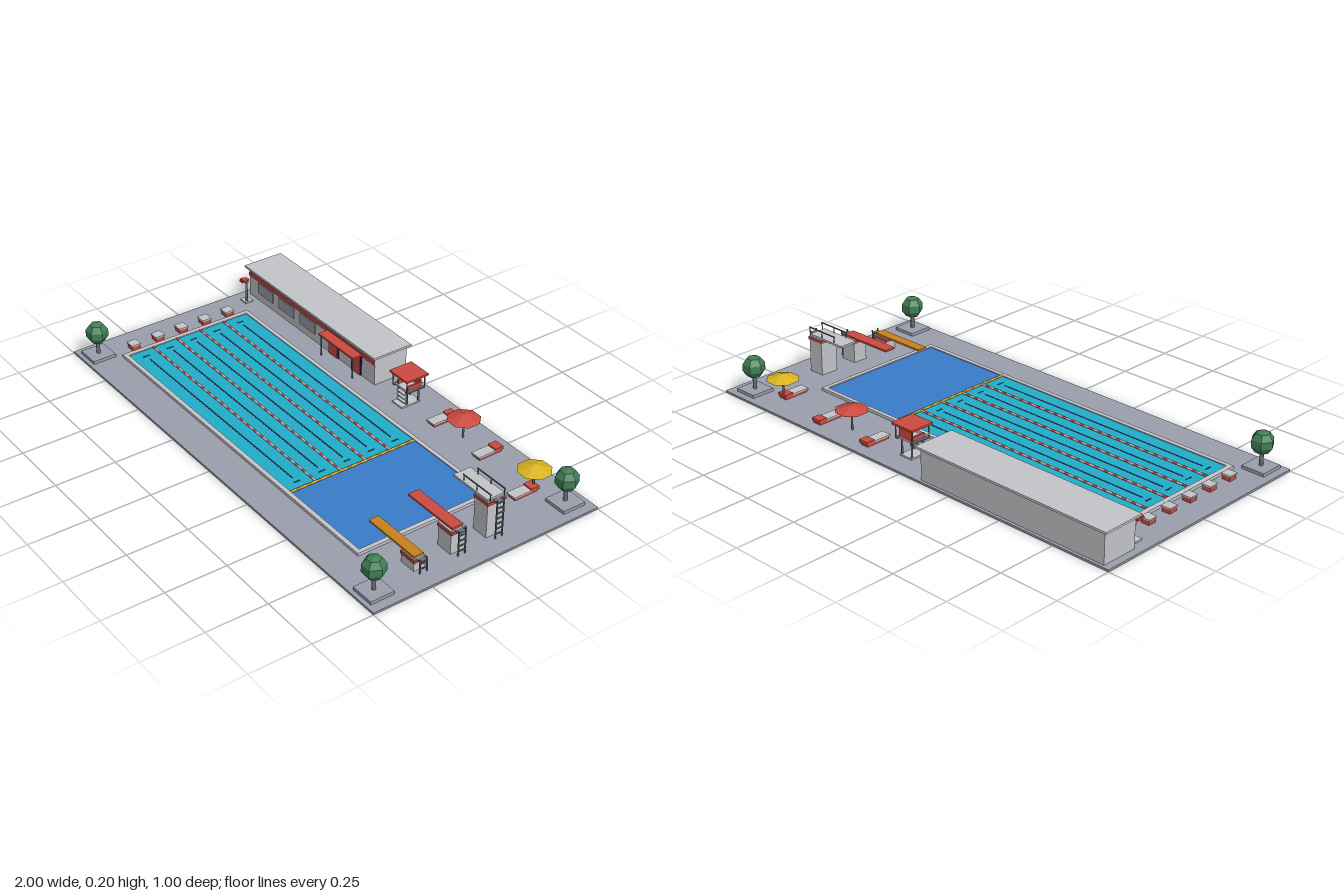
import * as THREE from 'three';

const mat = (name, color, extra = {}) => {
  const m = new THREE.MeshStandardMaterial({ color, ...extra });
  m.name = name;
  return m;
};

export function createModel() {
  const root = new THREE.Group();
  root.name = 'swimmingPool';
  const deck = mat('deckGrey', 0x9b9eac);
  const light = mat('lightConcrete', 0xc4c5ca);
  const red = mat('red', 0xcc4a41);
  const teal = mat('laneWater', 0x21adc9);
  const blue = mat('deepWater', 0x397dca);
  const navy = mat('navy', 0x1d2c52);
  const green = mat('leafGreen', 0x3f7f55, { flatShading: true });
  const yellow = mat('yellow', 0xd9b51f);
  const orange = mat('orange', 0xca801f);
  const metal = mat('metalGrey', 0x6c7079);

  const D = 0.008; // deck surface height
  const group = (name, x = 0, z = 0) => {
    const g = new THREE.Group();
    g.name = name;
    g.position.set(x, 0, z);
    root.add(g);
    return g;
  };
  const add = (parent, name, geo, m, x = 0, y = 0, z = 0) => {
    const mesh = new THREE.Mesh(geo, m);
    mesh.name = name;
    mesh.position.set(x, y, z);
    parent.add(mesh);
    return mesh;
  };
  // box given by its minimum and maximum on each axis
  const box = (parent, name, m, x0, x1, y0, y1, z0, z1) =>
    add(parent, name, new THREE.BoxGeometry(x1 - x0, y1 - y0, z1 - z0), m,
      (x0 + x1) / 2, (y0 + y1) / 2, (z0 + z1) / 2);
  const post = (parent, name, m, x, z, y0, y1, r) =>
    add(parent, name, new THREE.CylinderGeometry(r, r, y1 - y0, 8), m, x, (y0 + y1) / 2, z);

  box(root, 'deck', deck, -1, 1, 0, D, -0.5, 0.5);

  // Pool: raised coping ring with two areas of water
  const pool = group('pool');
  box(pool, 'copingBack', light, -0.85, 0.728, D, 0.02, -0.235, -0.218);
  box(pool, 'copingFront', light, -0.85, 0.728, D, 0.02, 0.344, 0.362);
  box(pool, 'copingRight', light, -0.85, -0.83, D, 0.02, -0.218, 0.344);
  box(pool, 'copingLeft', light, 0.71, 0.728, D, 0.02, -0.218, 0.344);
  box(pool, 'laneWater', teal, -0.83, 0.3, D, 0.016, -0.218, 0.344);
  box(pool, 'deepWater', blue, 0.3, 0.71, D, 0.016, -0.218, 0.344);

  // Lane markings and starting blocks
  for (let i = 0; i < 5; i++) {
    const z = -0.161 + i * 0.1122;
    box(pool, 'laneLine', navy, -0.765, 0.23, 0.016, 0.0168, z - 0.003, z + 0.003);
    for (const x of [-0.79, 0.256])
      box(pool, 'laneTick', navy, x - 0.003, x + 0.003, 0.016, 0.0168, z - 0.015, z + 0.015);
    const block = group('startingBlock', -0.885, z);
    box(block, 'blockBase', red, -0.018, 0.018, D, 0.026, -0.018, 0.018);
    box(block, 'blockTop', light, -0.021, 0.021, 0.026, 0.032, -0.021, 0.021);
  }

  // Floating ropes between the lanes and across the deep end
  const floatX = new THREE.CylinderGeometry(0.005, 0.005, 0.0226, 6).rotateZ(Math.PI / 2);
  for (let r = 0; r < 4; r++)
    for (let i = 0; i < 50; i++)
      add(pool, 'laneFloat', floatX, i % 2 ? light : red,
        -0.83 + (i + 0.5) * 0.0226, 0.019, -0.105 + r * 0.1122);
  const floatZ = new THREE.CylinderGeometry(0.005, 0.005, 0.0225, 6).rotateX(Math.PI / 2);
  for (let i = 0; i < 25; i++)
    add(pool, 'dividerFloat', floatZ, i % 2 ? orange : yellow, 0.3, 0.0195, -0.218 + (i + 0.5) * 0.0225);

  // Changing room building
  const house = group('building');
  box(house, 'walls', light, -0.97, -0.1, D, 0.133, -0.488, -0.333);
  box(house, 'roof', light, -0.985, -0.085, 0.133, 0.142, -0.5, -0.318);
  box(house, 'redBand', red, -0.97, -0.1, 0.099, 0.115, -0.333, -0.329);
  for (const x of [-0.85, -0.7, -0.55])
    box(house, 'window', deck, x - 0.053, x + 0.053, 0.043, 0.092, -0.333, -0.329);
  for (const x of [-0.368, -0.218]) {
    box(house, 'doorFrame', navy, x - 0.034, x + 0.034, D, 0.096, -0.333, -0.33);
    box(house, 'door', red, x - 0.027, x + 0.027, D, 0.091, -0.33, -0.327);
  }
  box(house, 'canopy', red, -0.41, -0.18, 0.1, 0.108, -0.333, -0.285);
  for (const x of [-0.4, -0.19]) post(house, 'canopyPost', metal, x, -0.292, D, 0.1, 0.003);

  // Poolside shower
  const shower = group('shower', -0.93, -0.288);
  box(shower, 'tray', light, -0.02, 0.02, D, 0.014, -0.018, 0.018);
  post(shower, 'pipe', metal, 0.01, 0.006, D, 0.108, 0.005);
  box(shower, 'arm', red, -0.025, 0.015, 0.1, 0.108, 0, 0.012);
  box(shower, 'head', red, -0.027, -0.005, 0.095, 0.103, -0.017, 0.017);

  // Lifeguard chair
  const chair = group('lifeguardChair', 0.065, -0.372);
  box(chair, 'chairRoof', red, -0.054, 0.054, 0.133, 0.141, -0.053, 0.053);
  box(chair, 'seat', light, -0.035, 0.035, 0.076, 0.083, -0.035, 0.035);
  box(chair, 'seatBack', red, -0.033, 0.033, 0.083, 0.12, -0.035, -0.027);
  for (const x of [-1, 1]) {
    box(chair, 'armRest', red, x * 0.03 - 0.004, x * 0.03 + 0.004, 0.083, 0.1, -0.03, 0.03);
    for (const z of [-1, 1]) {
      post(chair, 'leg', metal, x * 0.026, z * 0.028, D, 0.077, 0.004);
      post(chair, 'roofPost', metal, x * 0.043, z * 0.043, 0.08, 0.134, 0.0025);
    }
    box(chair, 'roofPostBracket', metal, x * 0.04 - 0.006, x * 0.04 + 0.006, 0.077, 0.082, -0.044, 0.044);
  }
  for (let i = 0; i < 3; i++)
    box(chair, 'step', light, -0.024, 0.024, 0.022 + i * 0.018, 0.027 + i * 0.018, 0.026, 0.04);
  box(chair, 'chairFoot', light, -0.03, 0.03, D, 0.014, -0.035, 0.055);

  // Sun loungers
  for (const [x, z] of [[0.247, -0.392], [0.514, -0.392], [0.78, -0.336]]) {
    const bed = group('lounger', x, z);
    box(bed, 'loungerBase', red, -0.019, 0.019, D, 0.018, -0.055, 0.052);
    box(bed, 'mattress', light, -0.022, 0.022, 0.018, 0.024, -0.022, 0.057);
    box(bed, 'headRest', red, -0.022, 0.022, 0.018, 0.03, -0.06, -0.022);
  }

  // Parasols
  const shade = new THREE.ConeGeometry(0.067, 0.023, 8).toNonIndexed();
  shade.computeVertexNormals();
  for (const [x, z, m] of [[0.38, -0.387, red], [0.78, -0.387, yellow]]) {
    const p = group('parasol', x, z);
    post(p, 'pole', metal, 0, 0, D, 0.1, 0.004);
    add(p, 'shade', shade, m, 0, 0.1035, 0).rotation.y = Math.PI / 8;
  }

  // Trees in square planters
  for (const [x, z] of [[0.912, -0.422], [-0.918, 0.433], [0.912, 0.433]]) {
    const tree = group('tree', x, z);
    box(tree, 'planter', deck, -0.05, 0.05, D, 0.021, -0.05, 0.05);
    post(tree, 'trunk', metal, 0, 0, 0.02, 0.075, 0.008);
    add(tree, 'foliage', new THREE.SphereGeometry(0.047, 6, 5), green, 0, 0.114, 0);
  }

  // Diving towers: body, red band, board, ladder and rails
  const tower = (z, top, half, boardX, boardHalf, boardMat, rails) => {
    const t = group('divingTower', 0, z);
    box(t, 'towerBody', light, 0.835, 0.905, D, top - 0.008, -half + 0.003, half - 0.003);
    box(t, 'towerBand', red, 0.831, 0.909, top - 0.024, top - 0.013, -half, half);
    box(t, 'board', boardMat, boardX, 0.9, top - 0.008, top, -boardHalf, boardHalf);
    for (const s of [-1, 1])
      box(t, 'ladderRail', metal, 0.924, 0.929, D, top, s * 0.015 - 0.002, s * 0.015 + 0.002);
    for (let y = 0.025; y < top - 0.01; y += 0.022)
      box(t, 'rung', metal, 0.924, 0.929, y, y + 0.004, -0.015, 0.015);
    box(t, 'ladderBracket', metal, 0.9, 0.928, top - 0.012, top - 0.008, -0.015, 0.015);
    if (!rails) return;
    for (const s of [-1, 1]) {
      const w = s * (boardHalf - 0.006);
      box(t, 'handRail', metal, 0.76, 0.912, top + rails - 0.004, top + rails, w - 0.002, w + 0.002);
      for (const x of [0.765, 0.836, 0.908]) post(t, 'railPost', metal, x, w, top - 0.005, top + rails - 0.002, 0.002);
    }
  };
  tower(-0.1, 0.17, 0.042, 0.715, 0.038, light, 0.026);
  tower(0.066, 0.114, 0.035, 0.655, 0.024, red, 0);
  tower(0.233, 0.067, 0.028, 0.645, 0.021, orange, 0);

  return root;
}
